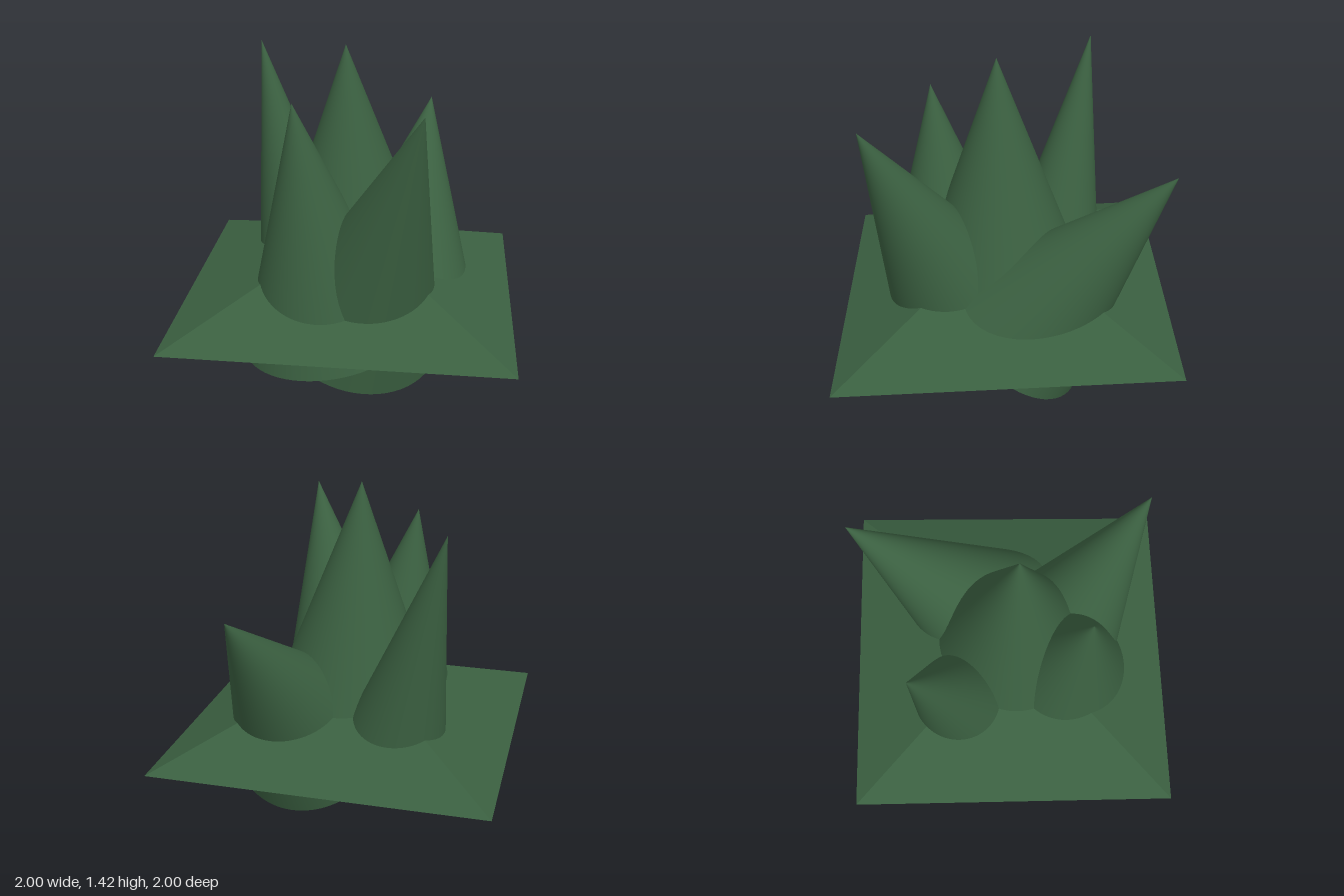
import * as THREE from 'three';

export function createModel() {
  const group = new THREE.Group();
  const green = new THREE.MeshStandardMaterial({ color: 0x3a5f40 });
  green.name = 'leafGreen';

  // Flattened, slightly tilted eight-sided base
  const base = new THREE.Mesh(new THREE.OctahedronGeometry(1), green);
  base.name = 'base';
  base.matrixAutoUpdate = false;
  base.matrix.makeBasis(
    new THREE.Vector3(1, 0.02, -0.1),
    new THREE.Vector3(-0.005, 0.313, 0.014),
    new THREE.Vector3(0.1, -0.045, 1)
  ).setPosition(0, 0.324, 0);
  group.add(base);

  // Smooth spikes, each leaning from its base centre to its tip
  const up = new THREE.Vector3(0, 1, 0);
  function addSpike(name, foot, tip, radius) {
    const a = new THREE.Vector3(...foot);
    const b = new THREE.Vector3(...tip);
    const axis = b.clone().sub(a);
    const spike = new THREE.Mesh(new THREE.ConeGeometry(radius, axis.length(), 64, 4), green);
    spike.name = name;
    spike.position.copy(a).add(b).multiplyScalar(0.5);
    spike.quaternion.setFromUnitVectors(up, axis.normalize());
    group.add(spike);
  }
  addSpike('centreSpike', [0, 0.39, 0.02], [-0.035, 1.43, 0.015], 0.385);
  addSpike('frontSpike', [-0.06, 0.2, 0.139], [-0.11, 1.26, 0.655], 0.367);
  addSpike('leftSpike', [0.18, 0.238, 0.097], [0.69, 1.055, -0.32], 0.367);
  addSpike('rightSpike', [-0.198, 0.195, 0.12], [-0.36, 1.24, 0.115], 0.367);
  addSpike('backSpike', [-0.03, 0.327, -0.31], [-0.1, 1.37, -0.59], 0.234);

  return group;
}
